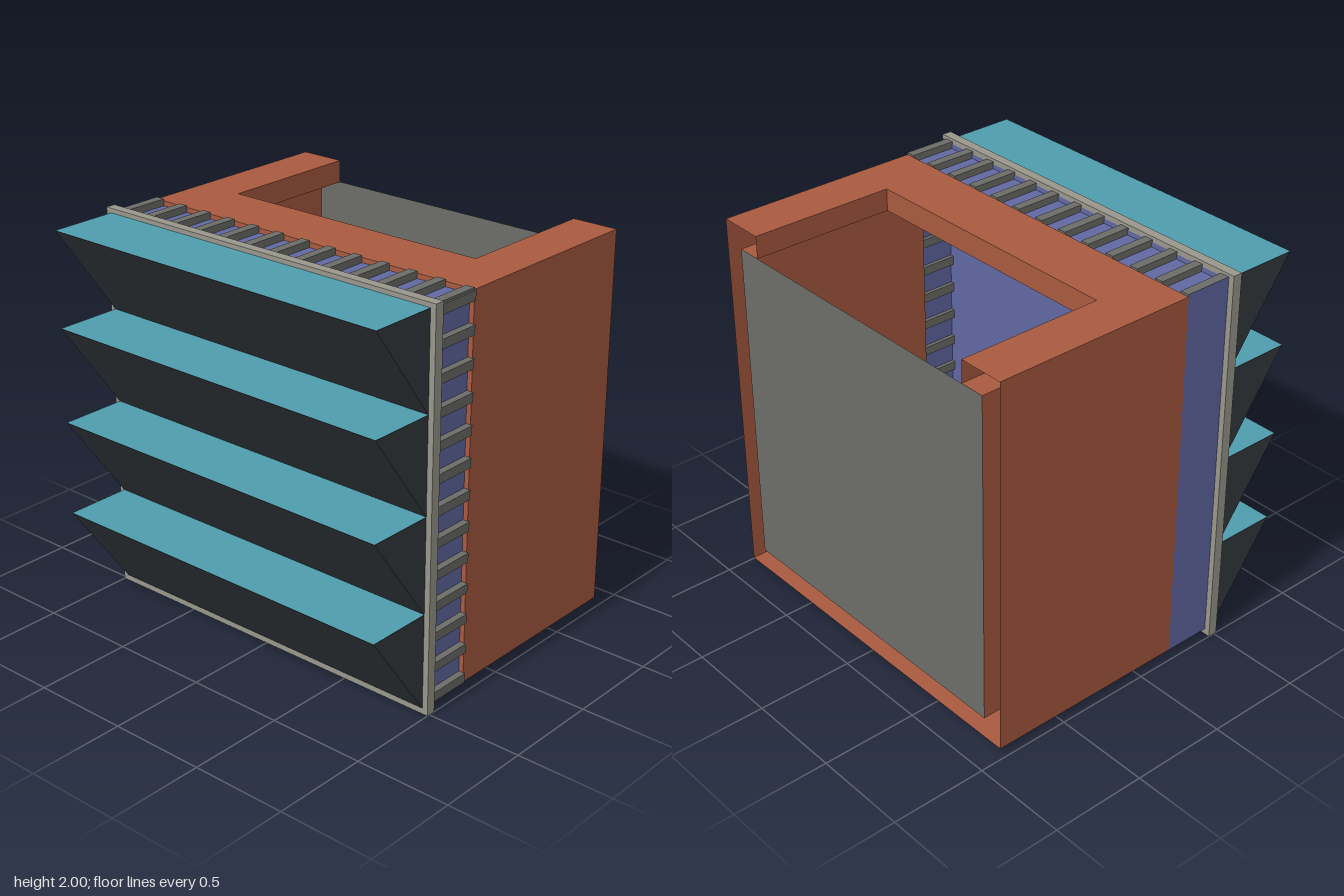
import * as THREE from 'three';

const material = (color) => new THREE.MeshStandardMaterial({ color, side: THREE.DoubleSide, flatShading: true });
const BRICK = material(0xa85a40), BLUE = material(0x6168a2), RIB = material(0x6c6c68);
const FRAME = material(0x99978c), DARK = material(0x343a3f), TEAL = material(0x4f9dae);

// main extents
const BACK = -0.865, JOINT = 0.215, FRONT = 0.465, FACE = 0.515, TIP = 0.865;
const HALF = 0.97, LOW = 0.03, HIGH = 1.975;
const INNER = 0.86, INNER_LOW = 0.14, INNER_HIGH = 1.86;
const NOTCH_X = 0.73, NOTCH_Z = -0.105;

export function createModel() {
  const model = new THREE.Group();

  const add = (parent, name, geometry, mat) => {
    const mesh = new THREE.Mesh(geometry, mat);
    mesh.name = name;
    parent.add(mesh);
    return mesh;
  };
  const group = (name) => {
    const g = new THREE.Group();
    g.name = name;
    model.add(g);
    return g;
  };
  // box from its two opposite corners
  const box = (parent, name, mat, [x0, y0, z0], [x1, y1, z1]) =>
    add(parent, name, new THREE.BoxGeometry(x1 - x0, y1 - y0, z1 - z0), mat)
      .position.set((x0 + x1) / 2, (y0 + y1) / 2, (z0 + z1) / 2);
  // thin sheets facing along x, y or z
  const sheetX = (parent, name, mat, x, y0, y1, z0, z1) =>
    add(parent, name, new THREE.PlaneGeometry(z1 - z0, y1 - y0).rotateY(x < 0 ? -Math.PI / 2 : Math.PI / 2), mat)
      .position.set(x, (y0 + y1) / 2, (z0 + z1) / 2);
  const sheetY = (parent, name, mat, y, x0, x1, z0, z1) =>
    add(parent, name, new THREE.PlaneGeometry(x1 - x0, z1 - z0).rotateX(y < 1 ? Math.PI / 2 : -Math.PI / 2), mat)
      .position.set((x0 + x1) / 2, y, (z0 + z1) / 2);
  const sheetZ = (parent, name, mat, z, x0, x1, y0, y1) =>
    add(parent, name, new THREE.PlaneGeometry(x1 - x0, y1 - y0), mat)
      .position.set((x0 + x1) / 2, (y0 + y1) / 2, z);

  // rear housing: outer and inner skins, open at the back edge
  const housing = group('rearHousing');
  const skin = (name, half, low, high) => {
    for (const s of [-1, 1]) sheetX(housing, name + 'Side', BRICK, s * half, low, high, BACK, JOINT);
    sheetY(housing, name + 'Floor', BRICK, low, -half, half, BACK, JOINT);
    // U-shaped roof with the service notch
    const roof = new THREE.Shape([
      [-half, BACK], [-NOTCH_X, BACK], [-NOTCH_X, NOTCH_Z], [NOTCH_X, NOTCH_Z],
      [NOTCH_X, BACK], [half, BACK], [half, JOINT], [-half, JOINT],
    ].map(([x, z]) => new THREE.Vector2(x, -z)));
    add(housing, name + 'Roof', new THREE.ShapeGeometry(roof).rotateX(-Math.PI / 2), BRICK).position.y = high;
  };
  skin('outer', HALF, LOW, HIGH);
  skin('inner', INNER, INNER_LOW, INNER_HIGH);

  // notch lips joining the two roof skins
  for (const s of [-1, 1]) sheetX(housing, 'notchSideLip', BRICK, s * NOTCH_X, INNER_HIGH, HIGH, BACK, NOTCH_Z);
  sheetZ(housing, 'notchFrontLip', BRICK, NOTCH_Z, -NOTCH_X, NOTCH_X, INNER_HIGH, HIGH);

  // ring closing the housing walls at the joint
  const rect = (half, low, high) => [[-half, low], [half, low], [half, high], [-half, high]]
    .map(([x, y]) => new THREE.Vector2(x, y));
  const ring = new THREE.Shape(rect(HALF, LOW, HIGH));
  ring.holes.push(new THREE.Path(rect(INNER, INNER_LOW, INNER_HIGH).reverse()));
  add(housing, 'jointRing', new THREE.ShapeGeometry(ring), BRICK).position.z = JOINT;

  sheetZ(model, 'backPanel', RIB, BACK, -INNER, INNER, INNER_LOW, INNER_HIGH);

  // blue middle band, recessed on the ribbed left and top sides
  const band = group('middleBand');
  const RECESS_X = 0.945, RECESS_Y = 1.95;
  sheetX(band, 'bandRight', BLUE, -HALF, LOW, 1.985, JOINT, FRONT);
  sheetX(band, 'bandLeft', BLUE, RECESS_X, LOW, RECESS_Y, JOINT, FRONT);
  sheetY(band, 'bandBottom', BLUE, LOW, -HALF, HALF, JOINT, FRONT);
  sheetY(band, 'bandTop', BLUE, RECESS_Y, -HALF, RECESS_X, JOINT, FRONT);
  sheetZ(band, 'bandFront', BLUE, FRONT - 0.004, -HALF, HALF, LOW, HIGH);

  // ribs along the left side and the top
  const ribs = group('ribs');
  const COUNT = 13, STEP = 0.1577, WIDTH = 0.047;
  for (let i = 0; i < COUNT; i++) {
    const x = -HALF + 0.002 + i * STEP, y = LOW + 0.004 + i * STEP;
    box(ribs, 'topRib', RIB, [x, 1.93, JOINT], [x + WIDTH, 1.985, FRONT]);
    box(ribs, 'sideRib', RIB, [0.925, y, JOINT], [0.98, y + WIDTH, FRONT]);
  }

  // front frame plate
  box(model, 'frontFrame', FRAME, [-1, 0, FRONT], [1, 2, FACE]);

  // four wedge louvres with coloured tops
  const louvres = group('louvres');
  const PITCH = (HIGH - LOW) / 4;
  const wedge = new THREE.Shape([[-FACE, 0], [-TIP, PITCH], [-FACE, PITCH]]
    .map(([x, y]) => new THREE.Vector2(x, y)));
  const wedgeGeometry = new THREE.ExtrudeGeometry(wedge, { depth: 2 * HALF, bevelEnabled: false })
    .rotateY(Math.PI / 2).translate(-HALF, 0, 0);
  for (let i = 0; i < 4; i++) {
    const y = LOW + i * PITCH;
    add(louvres, 'louvreBody', wedgeGeometry, DARK).position.y = y;
    sheetY(louvres, 'louvreTop', TEAL, y + PITCH + 0.002, -HALF, HALF, FACE, TIP);
  }
  // the lowest tops need to face upward like the others
  louvres.children.filter((m) => m.name === 'louvreTop' && m.position.y < 1)
    .forEach((m) => { m.rotation.x = Math.PI; });

  return model;
}
